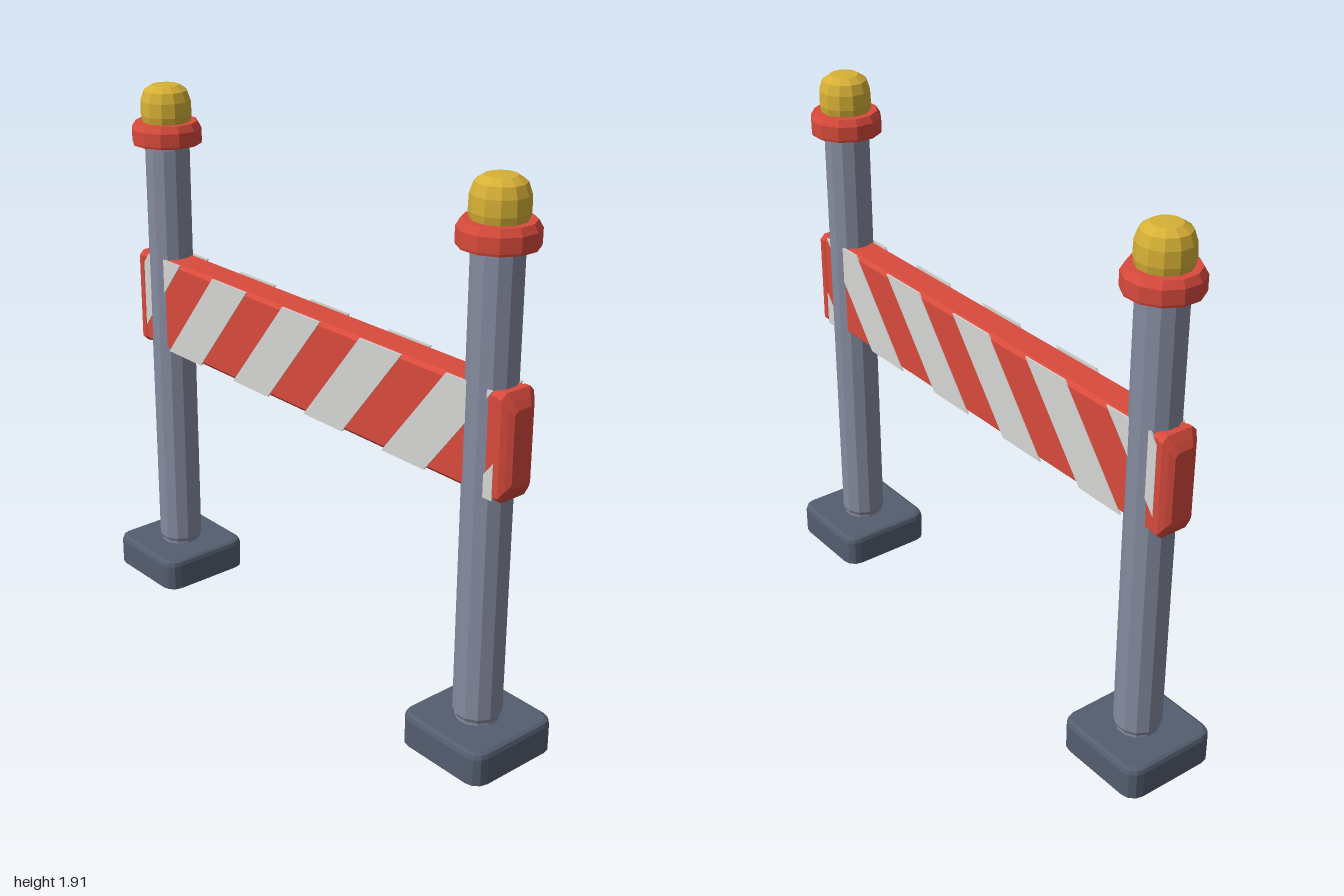
import * as THREE from 'three';

const mat = (name, color) => {
  const m = new THREE.MeshStandardMaterial({ color });
  m.name = name;
  return m;
};

// Faceted normals
function facet(geo) {
  const g = geo.index ? geo.toNonIndexed() : geo;
  g.computeVertexNormals();
  return g;
}

// Counter-clockwise rectangle with rounded (or, with seg 1, chamfered) corners
function roundRect(w, h, r, seg) {
  const pts = [];
  for (let c = 0; c < 4; c++) {
    const cx = (c === 0 || c === 3 ? 1 : -1) * (w / 2 - r);
    const cy = (c < 2 ? 1 : -1) * (h / 2 - r);
    for (let i = 0; i <= seg; i++) {
      const a = (c + i / seg) * Math.PI / 2;
      pts.push([cx + r * Math.cos(a), cy + r * Math.sin(a)]);
    }
  }
  return pts;
}

// Closed solid through rings [z, width, height, cornerRadius] along z
function loft(rings, seg) {
  const pos = [], idx = [], n = 4 * (seg + 1), last = rings.length - 1;
  for (const [z, w, h, r] of rings) {
    for (const [x, y] of roundRect(w, h, r, seg)) pos.push(x, y, z);
  }
  for (let k = 0; k < last; k++) {
    for (let i = 0; i < n; i++) {
      const a = k * n + i, b = k * n + (i + 1) % n;
      idx.push(a, b, b + n, a, b + n, a + n);
    }
  }
  for (let i = 1; i < n - 1; i++) {
    idx.push(0, i + 1, i);
    idx.push(last * n, last * n + i, last * n + i + 1);
  }
  const g = new THREE.BufferGeometry();
  g.setAttribute('position', new THREE.Float32BufferAttribute(pos, 3));
  g.setIndex(idx);
  return facet(g);
}

const lathe = (pts, sides) =>
  facet(new THREE.LatheGeometry(pts.map(p => new THREE.Vector2(p[0], p[1])), sides, Math.PI / sides));

// Cut a polygon at a vertical line, keeping sign * x <= limit
function clipX(poly, sign, limit) {
  const out = [];
  poly.forEach((p, i) => {
    const q = poly[(i + 1) % poly.length];
    const dp = limit - sign * p[0], dq = limit - sign * q[0];
    if (dp >= 0) out.push(p);
    if (dp * dq < 0) {
      const t = dp / (dp - dq);
      out.push([p[0] + (q[0] - p[0]) * t, p[1] + (q[1] - p[1]) * t]);
    }
  });
  return out;
}

export function createModel() {
  const root = new THREE.Group();
  root.name = 'roadBarrier';
  const red = mat('red', 0xd84a3c);
  const white = mat('white', 0xd6d6d4);
  const steel = mat('steelGrey', 0x868ca0);
  const dark = mat('darkGrey', 0x545e70);
  const amber = mat('amber', 0xd6b036);

  const add = (parent, name, geo, material, x = 0, y = 0, z = 0) => {
    const m = new THREE.Mesh(geo, material);
    m.name = name;
    m.position.set(x, y, z);
    parent.add(m);
    return m;
  };

  // Base block, post, collar and lamp for each side
  const baseGeo = loft([
    [0, 0.36, 0.36, 0.05], [0.095, 0.36, 0.36, 0.05],
    [0.109, 0.35, 0.35, 0.045], [0.115, 0.33, 0.33, 0.04],
  ], 3).rotateX(-Math.PI / 2);
  const postGeo = lathe([[0.074, 0.1], [0.074, 0.125], [0.081, 0.14], [0.081, 1.68], [0.076, 1.72]], 12);
  const collarGeo = lathe([
    [0, 1.697], [0.124, 1.697], [0.126, 1.705], [0.126, 1.752], [0.112, 1.776], [0, 1.776],
  ], 12);
  const lampGeo = lathe([
    [0.086, 1.77], [0.092, 1.8], [0.09, 1.85], [0.078, 1.885], [0.05, 1.904], [0, 1.906],
  ], 12);
  for (const s of [1, -1]) {
    const side = new THREE.Group();
    side.name = s > 0 ? 'leftStand' : 'rightStand';
    side.position.x = s * 0.82;
    add(side, 'base', baseGeo, dark);
    add(side, 'post', postGeo, steel);
    add(side, 'collar', collarGeo, red);
    add(side, 'lamp', lampGeo, amber);
    root.add(side);
  }

  // Crossboard with chamfered long edges
  const board = new THREE.Group();
  board.name = 'crossboard';
  board.position.y = 1.105;
  root.add(board);
  const plank = loft([[-0.91, 0.126, 0.348, 0.014], [0.91, 0.126, 0.348, 0.014]], 1);
  add(board, 'plank', plank.rotateY(Math.PI / 2), red);

  // Bevelled end caps
  const capGeo = loft([
    [0.895, 0.122, 0.34, 0.016], [0.905, 0.136, 0.354, 0.018],
    [0.925, 0.136, 0.354, 0.018], [0.942, 0.11, 0.3, 0.018], [0.955, 0.08, 0.25, 0.012],
  ], 1).rotateY(Math.PI / 2);
  add(board, 'leftCap', capGeo, red);
  add(board, 'rightCap', capGeo, red).rotation.y = Math.PI;

  // Slanted stripes, as thin plates on both faces
  const h = 0.175, slant = 0.278, width = 0.195;
  for (let k = -1; k <= 4; k++) {
    const x = -0.48 + k * 0.39;
    let poly = [[x - slant, -h], [x - slant + width, -h], [x + width, h], [x, h]];
    poly = clipX(clipX(poly, 1, 0.9), -1, 0.9);
    if (poly.length < 3) continue;
    const shape = new THREE.Shape(poly.map(p => new THREE.Vector2(p[0], p[1])));
    const geo = new THREE.ExtrudeGeometry(shape, { depth: 0.006, bevelEnabled: false });
    add(board, 'frontStripe', geo, white, 0, 0, 0.06);
    add(board, 'backStripe', geo, white, 0, 0, -0.066);
  }
  return root;
}
